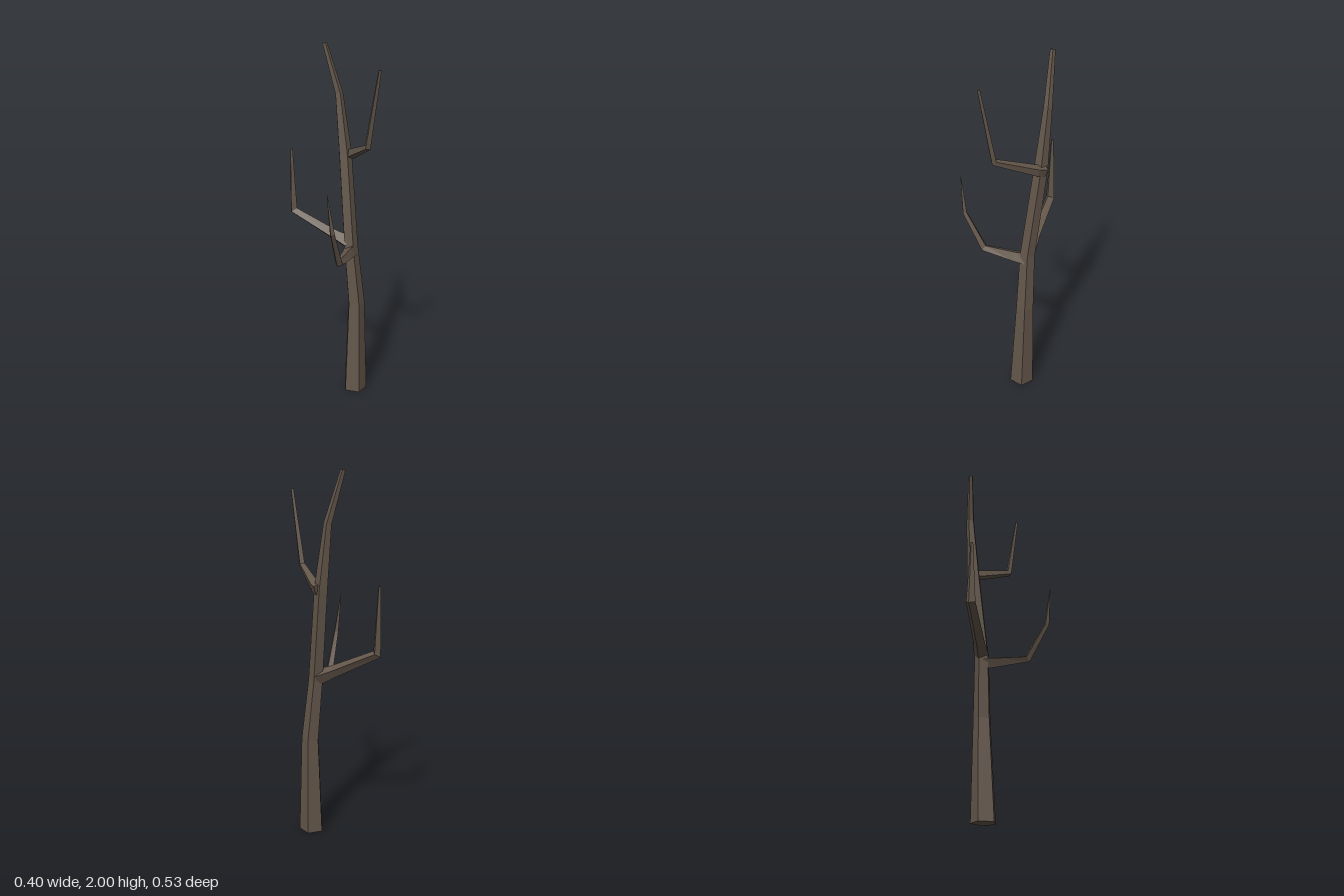
import * as THREE from 'three';

const UP = new THREE.Vector3(0, 1, 0);

// Faceted tapering limb through points [x, y, z, radius]; rings are mitred at the bends
function limbGeometry(points, sides, phase) {
  const centres = points.map(p => new THREE.Vector3(p[0], p[1], p[2]));
  const last = centres.length - 1;
  const direction = (a, b) => centres[b].clone().sub(centres[a]).normalize();
  const rings = centres.map((c, i) => {
    const t = new THREE.Vector3();
    if (i > 0) t.add(direction(i - 1, i));
    if (i < last) t.add(direction(i, i + 1));
    if (c.y === 0) t.copy(UP); // flat foot on the ground
    const q = new THREE.Quaternion().setFromUnitVectors(UP, t.normalize());
    return Array.from({ length: sides }, (_, k) => {
      const a = phase + (k / sides) * Math.PI * 2;
      return new THREE.Vector3(Math.cos(a), 0, Math.sin(a))
        .multiplyScalar(points[i][3]).applyQuaternion(q).add(c);
    });
  });

  const corners = [];
  for (let k = 0; k < sides; k++) {
    const n = (k + 1) % sides;
    for (let i = 0; i < last; i++) {
      const lo = rings[i], hi = rings[i + 1];
      corners.push(lo[k], hi[k], lo[n], lo[n], hi[k], hi[n]);
    }
    corners.push(centres[0], rings[0][k], rings[0][n]);
    corners.push(centres[last], rings[last][n], rings[last][k]);
  }
  const geometry = new THREE.BufferGeometry().setFromPoints(corners);
  geometry.computeVertexNormals();
  return geometry;
}

export function createModel() {
  const bark = new THREE.MeshStandardMaterial({ color: 0x63564a, flatShading: true });
  bark.name = 'bark';

  const tree = new THREE.Group();
  tree.name = 'bareTree';
  const addLimb = (name, sides, phase, points) => {
    const mesh = new THREE.Mesh(limbGeometry(points, sides, phase), bark);
    mesh.name = name;
    tree.add(mesh);
  };

  // Leaning five-sided trunk
  addLimb('trunk', 5, 0.17, [
    [0.135, 0, -0.037, 0.07],
    [0.14, 0.55, -0.05, 0.05],
    [0.11, 0.89, -0.066, 0.042],
    [0.09, 1.4, -0.133, 0.038],
    [0.062, 1.73, -0.167, 0.023],
    [-0.01, 1.993, -0.197, 0.014],
  ]);

  // Low branch reaching forward
  addLimb('frontBranch', 4, Math.PI / 4, [
    [0.11, 0.862, -0.06, 0.042],
    [0.085, 0.866, 0, 0.036],
    [-0.002, 0.878, 0.158, 0.023],
    [-0.057, 1.08, 0.253, 0.015],
    [-0.086, 1.29, 0.266, 0.002],
  ]);

  // Low branch reaching back, with a flared root
  addLimb('backBranch', 4, Math.PI / 4, [
    [0.1, 0.91, -0.075, 0.045],
    [0.03, 0.945, -0.115, 0.034],
    [-0.182, 1.065, -0.243, 0.027],
    [-0.19, 1.42, -0.246, 0.008],
  ]);

  // High branch reaching forward
  addLimb('upperBranch', 4, Math.PI / 4, [
    [0.106, 1.4, -0.15, 0.036],
    [0.122, 1.408, -0.11, 0.03],
    [0.156, 1.49, 0.115, 0.019],
    [0.196, 1.89, 0.186, 0.009],
  ]);

  return tree;
}
